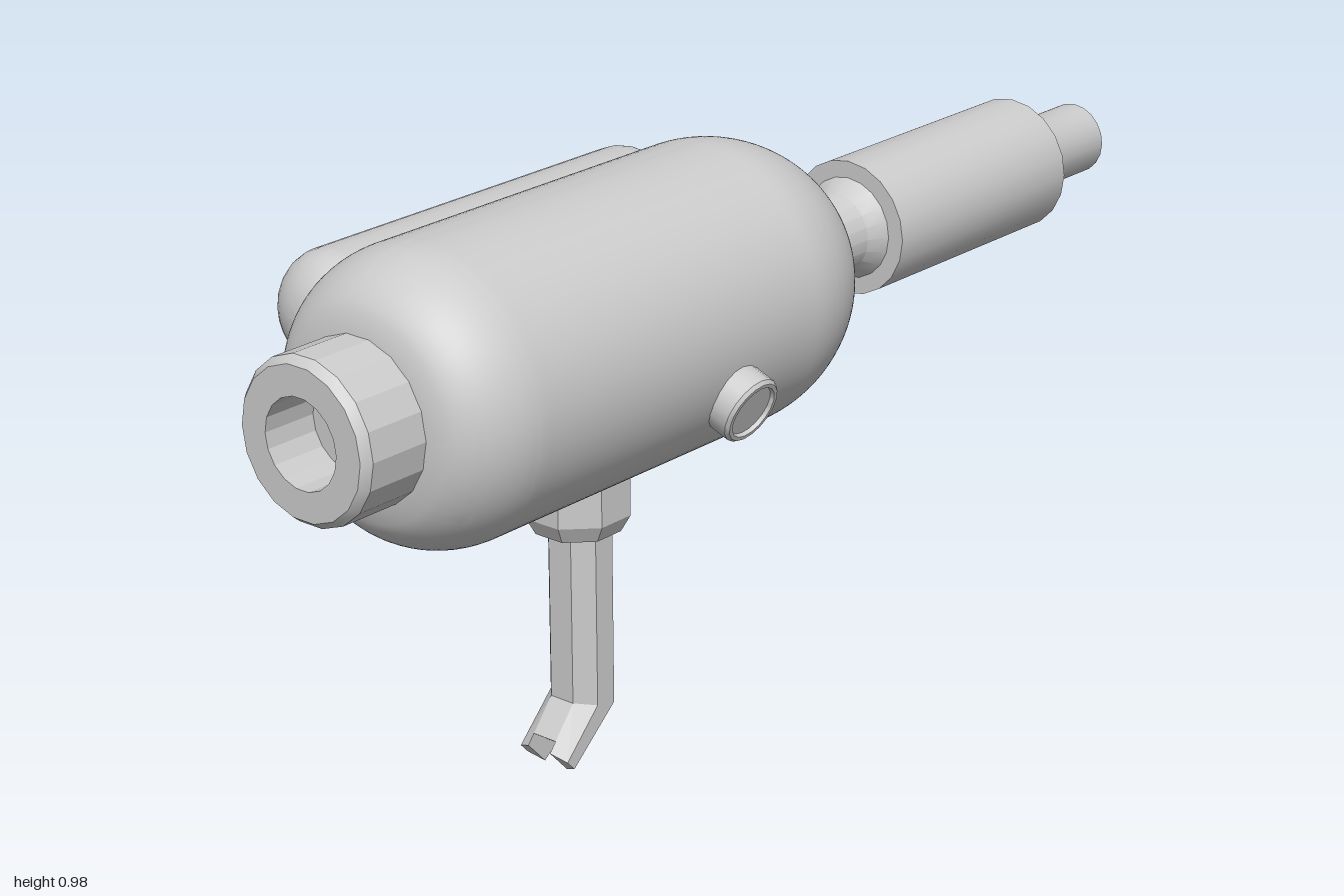
import * as THREE from 'three';
import { toCreasedNormals } from 'three/addons/utils/BufferGeometryUtils.js';
import { ConvexGeometry } from 'three/addons/geometries/ConvexGeometry.js';

const AXIS_Y = 0.74, AXIS_Z = 0.022;
const TANK_Y = 0.818, TANK_Z = -0.203;

export function createModel() {
  const model = new THREE.Group();
  const grey = new THREE.MeshStandardMaterial({ color: 0xcccccc });
  const faceted = new THREE.MeshStandardMaterial({ color: 0xcccccc, flatShading: true });

  const add = (name, geometry, material = grey, parent = model) => {
    const mesh = new THREE.Mesh(geometry, material);
    mesh.name = name;
    parent.add(mesh);
    return mesh;
  };
  // Lathe whose profile is [position along axis, radius]
  const turned = (profile, sides) =>
    new THREE.LatheGeometry(profile.map(([a, r]) => new THREE.Vector2(r, a)), sides);
  // The same, turned to lie along x
  const alongX = (profile, sides, y, z) =>
    turned(profile, sides).rotateZ(-Math.PI / 2).translate(0, y, z);
  const crease = (g, angle = 0.6) => toCreasedNormals(g, angle);

  // Main body: rounded cylinder with a cradle hollowed out for the side tank
  const bodyRadius = (x) => {
    if (x < -0.72) return 0.13 + 0.115 * Math.sqrt(Math.max(0, 1 - ((x + 0.72) / 0.155) ** 2));
    if (x > -0.07) return 0.245 * Math.max(0, 1 - ((x + 0.07) / 0.275) ** 2) ** 0.56;
    return 0.245;
  };
  const bodyProfile = [[-0.875, 0]];
  for (let i = 0; i <= 120; i++) {
    const x = -0.875 + 1.08 * (i / 120);
    bodyProfile.push([x, bodyRadius(x)]);
  }
  const body = alongX(bodyProfile, 108, 0, 0);
  const p = body.attributes.position;
  for (let i = 0; i < p.count; i++) {
    const x = p.getX(i);
    const r = Math.hypot(p.getY(i), p.getZ(i));
    if (r < 1e-4) continue;
    const cy = p.getY(i) / r, cz = p.getZ(i) / r;
    const dx = x - THREE.MathUtils.clamp(x, -0.68, -0.03);
    const inCradle = (s) =>
      Math.hypot(dx, cy * s + AXIS_Y - TANK_Y, cz * s + AXIS_Z - TANK_Z) < 0.13;
    let s = r;
    while (s > 0.05 && inCradle(s)) s -= 0.001;
    p.setXYZ(i, x, cy * s, cz * s);
  }
  body.translate(0, AXIS_Y, AXIS_Z);
  add('body', crease(body));

  // Side tank with rounded ends
  const tankProfile = [];
  for (let i = 0; i <= 20; i++) {
    const a = (i % 21) / 20 * Math.PI;
    const end = i < 10 ? -0.695 : -0.015;
    if (i === 10) tankProfile.push([-0.695, 0.102]);
    tankProfile.push([end - 0.085 * Math.cos(a), Math.max(0, 0.102 * Math.sin(a))]);
  }
  add('sideTank', crease(alongX(tankProfile, 24, TANK_Y, TANK_Z)));

  // Hollow rear cap
  add('rearCap', crease(alongX([
    [-0.85, 0.137], [-0.985, 0.137], [-1, 0.125], [-1, 0.075], [-0.9, 0.075], [-0.9, 0],
  ].reverse(), 18, AXIS_Y, AXIS_Z), 0.3));

  // Neck, barrel and muzzle in one turned piece
  add('barrel', crease(alongX([
    [0.1, 0.07], [0.286, 0.07], [0.318, 0.09], [0.318, 0.12], [0.8, 0.12], [0.8, 0.095],
    [0.815, 0.08], [0.855, 0.065], [1, 0.065], [1, 0],
  ], 20, AXIS_Y, AXIS_Z)));

  // Round knob on the front, with a recessed face
  const knob = add('knob', crease(turned([
    [0.2, 0.06], [0.278, 0.06], [0.284, 0.055], [0.284, 0.048], [0.277, 0.046], [0.277, 0],
  ], 18)));
  knob.position.set(-0.26, AXIS_Y, AXIS_Z);
  knob.rotation.x = 1.95;

  // Grip collar: octagon with a chamfered lower rim
  const collar = turned([[0.41, 0], [0.41, 0.075], [0.44, 0.092], [0.54, 0.092], [0.54, 0]], 8);
  collar.rotateY(Math.PI / 8).translate(-0.39, 0, 0.022);
  add('gripCollar', collar, faceted);

  // Grip: octagonal post bending back into a forked foot.
  // Each station gives the rear and front edge as [x, y].
  const top = [[-0.437, 0.46], [-0.337, 0.46]];
  const bend = [[-0.437, 0.115], [-0.337, 0.095]];
  const tip = [[-0.495, 0.045], [-0.455, 0.002]];
  const between = (a, b, t) => a.map((q, i) => q.map((v, j) => v + (b[i][j] - v) * t));
  const ring = (station, section) => section.map(([u, z]) => {
    const t = (u + 1) / 2, [a, b] = station;
    return new THREE.Vector3(a[0] + (b[0] - a[0]) * t, a[1] + (b[1] - a[1]) * t, z + 0.025);
  });
  const loft = (a, b, section) => new ConvexGeometry([...ring(a, section), ...ring(b, section)]);
  const prong = [[-1, 0.024], [-0.41, 0.052], [0.41, 0.052], [1, 0.024]];
  const mirrored = prong.map(([u, z]) => [u, -z]);
  const grip = new THREE.Group();
  grip.name = 'grip';
  model.add(grip);
  add('gripPost', loft(top, bend, [...prong, ...mirrored]), faceted, grip);
  add('leftProng', loft(bend, tip, prong), faceted, grip);
  add('rightProng', loft(bend, tip, mirrored), faceted, grip);
  add('gripHeel', loft(bend, between(bend, tip, 0.76),
    [[-1, 0.024], [1, 0.024], [1, -0.024], [-1, -0.024]]), faceted, grip);

  // Hose connector made of stacked rings
  add('hoseConnector', crease(alongX([
    [-0.31, 0], [-0.31, 0.035], [-0.3, 0.045], [-0.275, 0.045], [-0.265, 0.035], [-0.26, 0.048],
    [-0.25, 0.056], [-0.225, 0.056], [-0.215, 0.046], [-0.21, 0.034], [-0.185, 0.034],
    [-0.175, 0.024], [-0.175, 0],
  ], 10, 0.52, -0.15)));

  // Hose looping from the connector up to the nose of the body
  const hosePath = new THREE.CatmullRomCurve3([
    [-0.2, 0.52, -0.15], [-0.12, 0.49, -0.18], [-0.04, 0.43, -0.235], [0.03, 0.413, -0.262],
    [0.1, 0.44, -0.262], [0.19, 0.5, -0.2], [0.235, 0.54, -0.12], [0.225, 0.57, -0.06],
    [0.18, 0.6, -0.034], [0.12, 0.63, -0.03],
  ].map((q) => new THREE.Vector3(...q)));
  add('hose', new THREE.TubeGeometry(hosePath, 48, 0.019, 8));

  return model;
}
